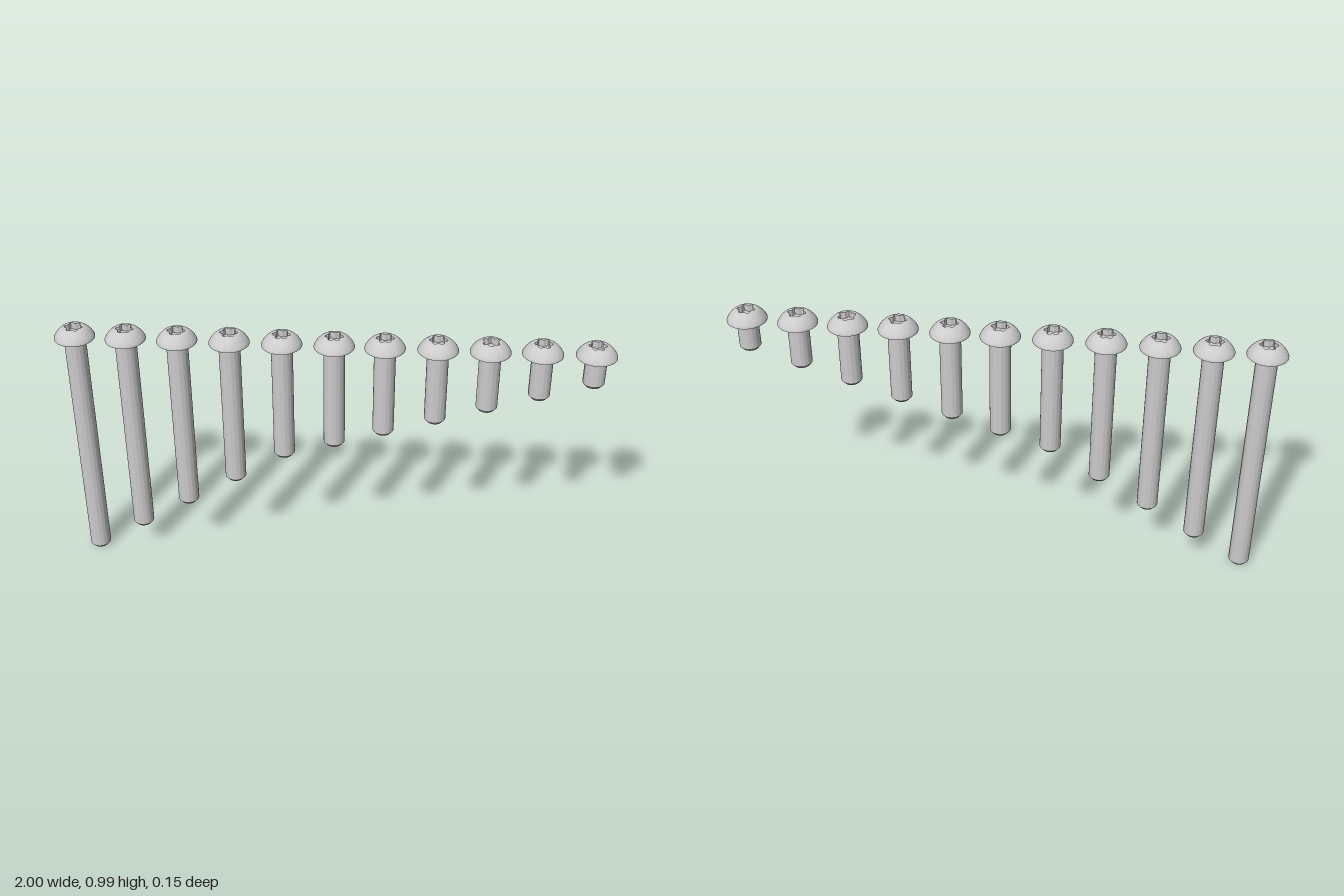
import * as THREE from 'three';
import { toCreasedNormals } from 'three/addons/utils/BufferGeometryUtils.js';

const SEGMENTS = 72;
const SHANK_R = 0.039, HEAD_R = 0.073, RIM_R = 0.036;
const HEAD_Y = 0.943, TOP_Y = 0.985, SOCKET_Y = 0.96;
const SOCKET_R = 0.0285, LOBE = 0.0045;

// Revolve [radius, y] pairs; the socket radius is bent into a six-lobed star
function revolve(profile) {
  const geo = new THREE.LatheGeometry(profile.map(([r, y]) => new THREE.Vector2(r, y)), SEGMENTS);
  const pos = geo.attributes.position;
  for (let i = 0; i < pos.count; i++) {
    const x = pos.getX(i), z = pos.getZ(i);
    if (Math.abs(Math.hypot(x, z) - SOCKET_R) > 1e-5) continue;
    const k = 1 - (LOBE / SOCKET_R) * Math.cos(6 * Math.atan2(x, z));
    pos.setX(i, x * k);
    pos.setZ(i, z * k);
  }
  return toCreasedNormals(geo, 0.5);
}

// Button head: flat underside, short edge, spherical dome, flat rim
function headGeometry() {
  const profile = [[SHANK_R, HEAD_Y], [HEAD_R, HEAD_Y], [HEAD_R, HEAD_Y + 0.003]];
  const drop = 0.0304, ballR = Math.hypot(HEAD_R, drop);
  const a0 = Math.atan2(drop, HEAD_R), a1 = Math.acos(RIM_R / ballR);
  for (let i = 1; i < 10; i++) {
    const a = a0 + ((a1 - a0) * i) / 10;
    profile.push([ballR * Math.cos(a), HEAD_Y + 0.003 - drop + ballR * Math.sin(a)]);
  }
  profile.push([RIM_R, TOP_Y], [SOCKET_R, TOP_Y]);
  return revolve(profile);
}

// Plain shank with a chamfered tip
const shankGeometry = (bottom) => revolve([
  [0, bottom], [0.029, bottom], [SHANK_R, bottom + 0.012], [SHANK_R, HEAD_Y],
]);

export function createModel() {
  const group = new THREE.Group();
  group.name = 'screwSet';
  const material = new THREE.MeshStandardMaterial({ color: 0xcccccc });
  const head = headGeometry();
  const socket = revolve([[SOCKET_R, TOP_Y], [SOCKET_R, SOCKET_Y], [0, SOCKET_Y]]);

  // Screw positions along the row, and lengths as multiples of one step
  const xs = [-0.927, -0.743, -0.557, -0.369, -0.181, 0.006, 0.186, 0.373, 0.557, 0.74, 0.927];
  const lengths = [16, 14, 12, 10, 8, 7, 6, 5, 4, 3, 2];
  const step = HEAD_Y / 16;

  xs.forEach((x, i) => {
    const screw = new THREE.Group();
    screw.name = `screw${i + 1}`;
    const parts = { shank: shankGeometry(HEAD_Y - lengths[i] * step), head, socket };
    for (const [name, geo] of Object.entries(parts)) {
      const mesh = new THREE.Mesh(geo, material);
      mesh.name = name;
      screw.add(mesh);
    }
    screw.position.x = x;
    if (i === 8) screw.rotation.y = Math.PI / 6; // one screw is turned half a lobe
    group.add(screw);
  });
  return group;
}
